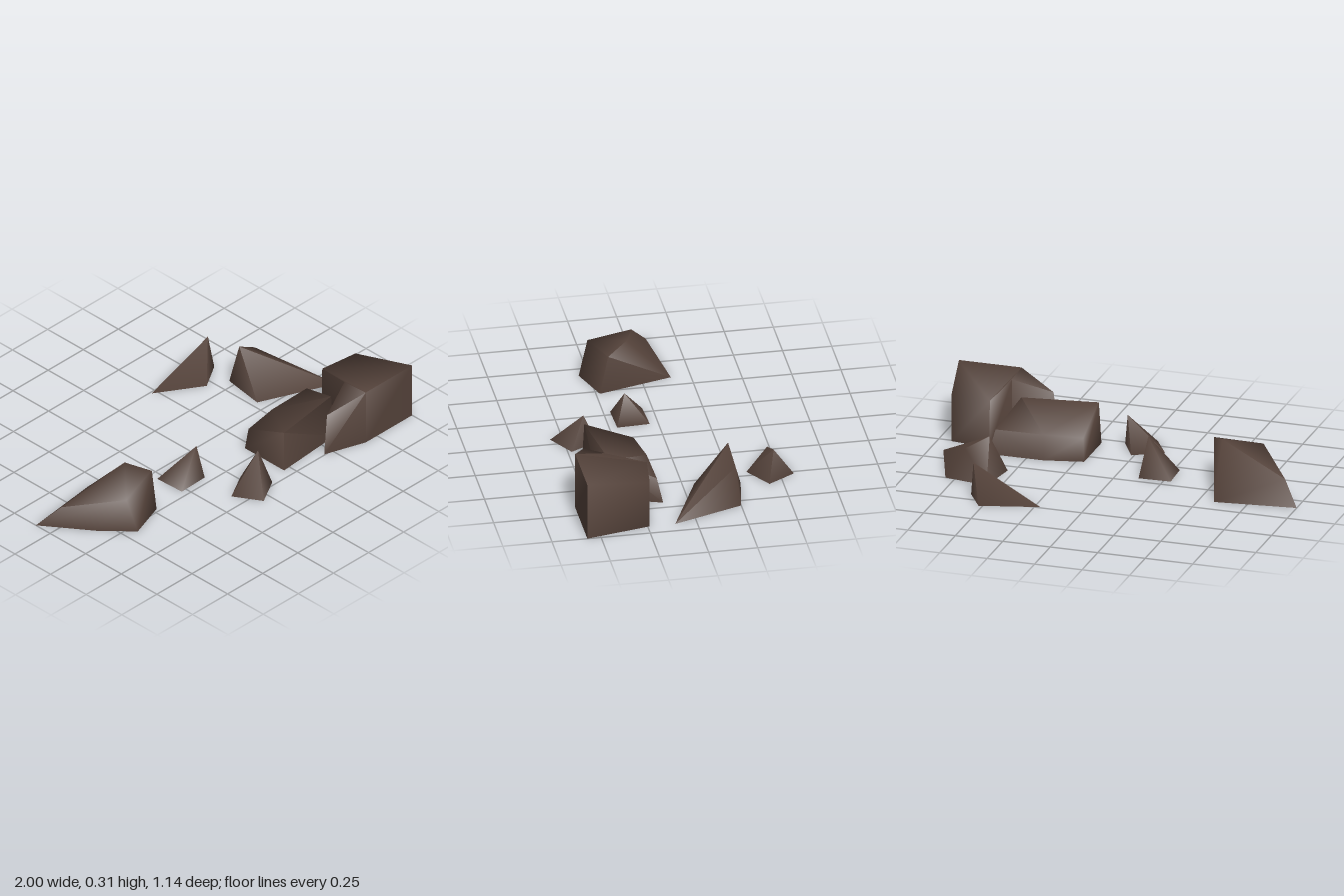
import * as THREE from 'three';
import { toCreasedNormals } from 'three/addons/utils/BufferGeometryUtils.js';
import { ConvexGeometry } from 'three/addons/geometries/ConvexGeometry.js';

// Turns a flat list of triangle corners into a softly shaded geometry.
function softGeometry(pos) {
  const geo = new THREE.BufferGeometry();
  geo.setAttribute('position', new THREE.Float32BufferAttribute(pos, 3));
  return toCreasedNormals(geo, 1.7);
}

// A hollow convex rock: base outline as [x, z] on the ground, top corners as [x, y, z].
function chippedRock(base, top) {
  const points = [
    ...base.map(([x, z]) => new THREE.Vector3(x, 0, z)),
    ...top.map((p) => new THREE.Vector3(...p)),
  ];
  const hull = new ConvexGeometry(points).getAttribute('position').array;
  const pos = [];
  // keep every face except those lying on the ground
  for (let i = 0; i < hull.length; i += 9) {
    if (Math.max(hull[i + 1], hull[i + 4], hull[i + 7]) > 1e-4) pos.push(...hull.slice(i, i + 9));
  }
  return softGeometry(pos);
}

// A hollow rock with a notched outline: upright walls under a sloping top.
// Corners run counter-clockwise seen from above, each [base x, base z, top x, top y, top z].
function notchedRock(corners) {
  const outline = corners.map((c) => new THREE.Vector2(c[0], -c[1]));
  const low = corners.map((c) => [c[0], 0, c[1]]);
  const high = corners.map((c) => [c[2], c[3], c[4]]);
  const pos = [];
  for (const [a, b, c] of THREE.ShapeUtils.triangulateShape(outline, [])) {
    pos.push(...high[a], ...high[b], ...high[c]);
  }
  for (let i = 0; i < low.length; i++) {
    const j = (i + 1) % low.length;
    pos.push(...low[i], ...low[j], ...high[j]);
    pos.push(...low[i], ...high[j], ...high[i]);
  }
  return softGeometry(pos);
}

export function createModel() {
  const group = new THREE.Group();
  const stone = new THREE.MeshStandardMaterial({ color: 0x54423a, side: THREE.DoubleSide });
  stone.name = 'brown stone';

  const rocks = {
    // large leaning boulder standing apart
    leaningBoulder: chippedRock(
      [[-1, -0.1], [-0.82, 0.15], [-0.68, 0.3], [-0.475, 0.23], [-0.58, -0.15]],
      [[-0.91, 0.11, -0.01], [-0.71, 0.182, 0.25], [-0.468, 0.21, 0.19], [-0.55, 0.248, 0.08]],
    ),
    // tallest block
    notchedBoulder: notchedRock([
      [0.72, 0.21, 0.72, 0.25, 0.215],
      [0.67, 0.42, 0.67, 0.295, 0.42],
      [0.45, 0.495, 0.475, 0.225, 0.49],
      [0.67, 0.57, 0.67, 0.305, 0.57],
      [1, 0.57, 1, 0.305, 0.57],
      [0.93, 0.24, 0.93, 0.25, 0.24],
    ]),
    // low block beside it, its top falling towards the back
    flatBoulder: chippedRock(
      [[0.21, 0.175], [0.21, 0.45], [0.6, 0.42], [0.7, 0.128], [0.41, 0.13]],
      [[0.22, 0.12, 0.19], [0.22, 0.22, 0.44], [0.61, 0.22, 0.385], [0.67, 0.125, 0.155], [0.42, 0.125, 0.16]],
    ),
    // wedge with a tall back ridge running down to a point
    wedgeRock: chippedRock(
      [[0.57, -0.29], [0.535, -0.06], [0.93, 0.11], [0.8, -0.25]],
      [[0.575, 0.24, -0.225], [0.7, 0.165, -0.24]],
    ),
    // pointed shards
    backShard: chippedRock([[0.22, -0.49], [0.46, -0.34], [0.605, -0.43], [0.52, -0.57]], [[0.585, 0.182, -0.455]]),
    middleShard: chippedRock([[-0.287, 0.05], [-0.28, 0.215], [-0.112, 0.21], [-0.12, 0.043]], [[-0.13, 0.182, 0.17]]),
    frontShard: chippedRock([[-0.135, 0.42], [-0.05, 0.563], [0.095, 0.48], [0.015, 0.335]], [[0.06, 0.182, 0.415]]),
  };

  for (const [name, geometry] of Object.entries(rocks)) {
    const mesh = new THREE.Mesh(geometry, stone);
    mesh.name = name;
    group.add(mesh);
  }
  return group;
}
